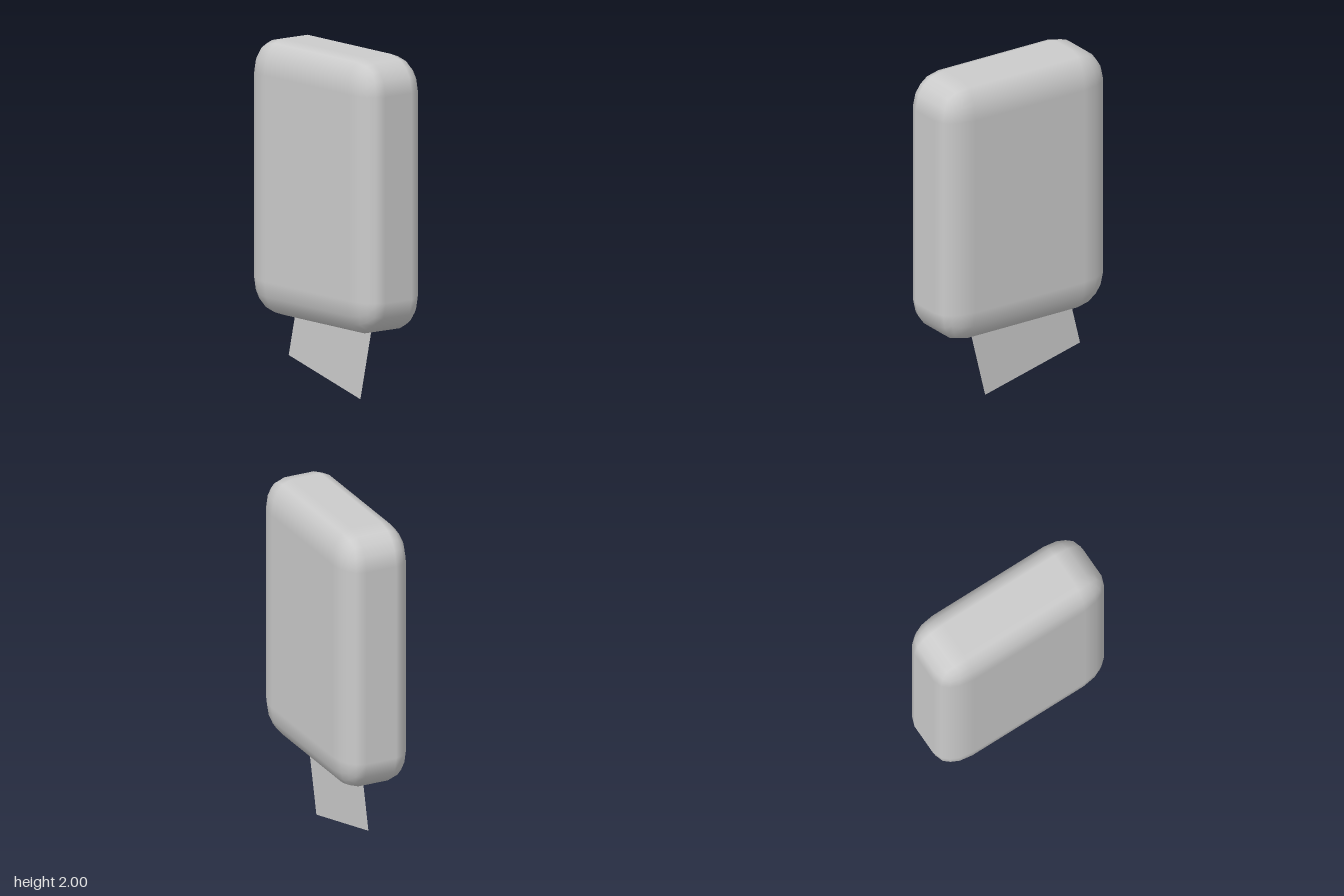
import * as THREE from 'three';
import { RoundedBoxGeometry } from 'three/addons/geometries/RoundedBoxGeometry.js';

// Rounded box with its own corner radius along each axis.
function softBox(half, radius, segments) {
  const geo = new RoundedBoxGeometry(2, 2, 2, segments, 0.5);
  const pos = geo.attributes.position;
  const nor = geo.attributes.normal;
  const n = new THREE.Vector3();
  for (let i = 0; i < pos.count; i++) {
    for (let k = 0; k < 3; k++) {
      const p = pos.getComponent(i, k);
      const a = Math.abs(p);
      const core = half[k] - radius[k];
      const v = a <= 0.5 ? (a / 0.5) * core : core + (a - 0.5) * 2 * radius[k];
      pos.setComponent(i, k, Math.sign(p) * v);
      n.setComponent(k, nor.getComponent(i, k) / radius[k]);
    }
    n.normalize();
    nor.setXYZ(i, n.x, n.y, n.z);
  }
  return geo;
}

export function createModel() {
  const group = new THREE.Group();

  // Upright slab with soft edges
  const body = new THREE.Mesh(
    softBox([0.218, 0.79, 0.57], [0.125, 0.2, 0.195], 2),
    new THREE.MeshStandardMaterial({ color: 0xcccccc })
  );
  body.name = 'body';
  body.position.y = 1.21;
  group.add(body);

  // Thin tilted sheet hanging out of the underside
  const sheet = new THREE.Mesh(
    new THREE.PlaneGeometry(0.67, 0.67).rotateY(Math.PI / 2),
    new THREE.MeshStandardMaterial({ color: 0xcccccc, side: THREE.DoubleSide })
  );
  sheet.name = 'sheet';
  sheet.rotation.x = 0.24;
  sheet.position.set(0.033, 0.405, -0.066);
  group.add(sheet);

  return group;
}
